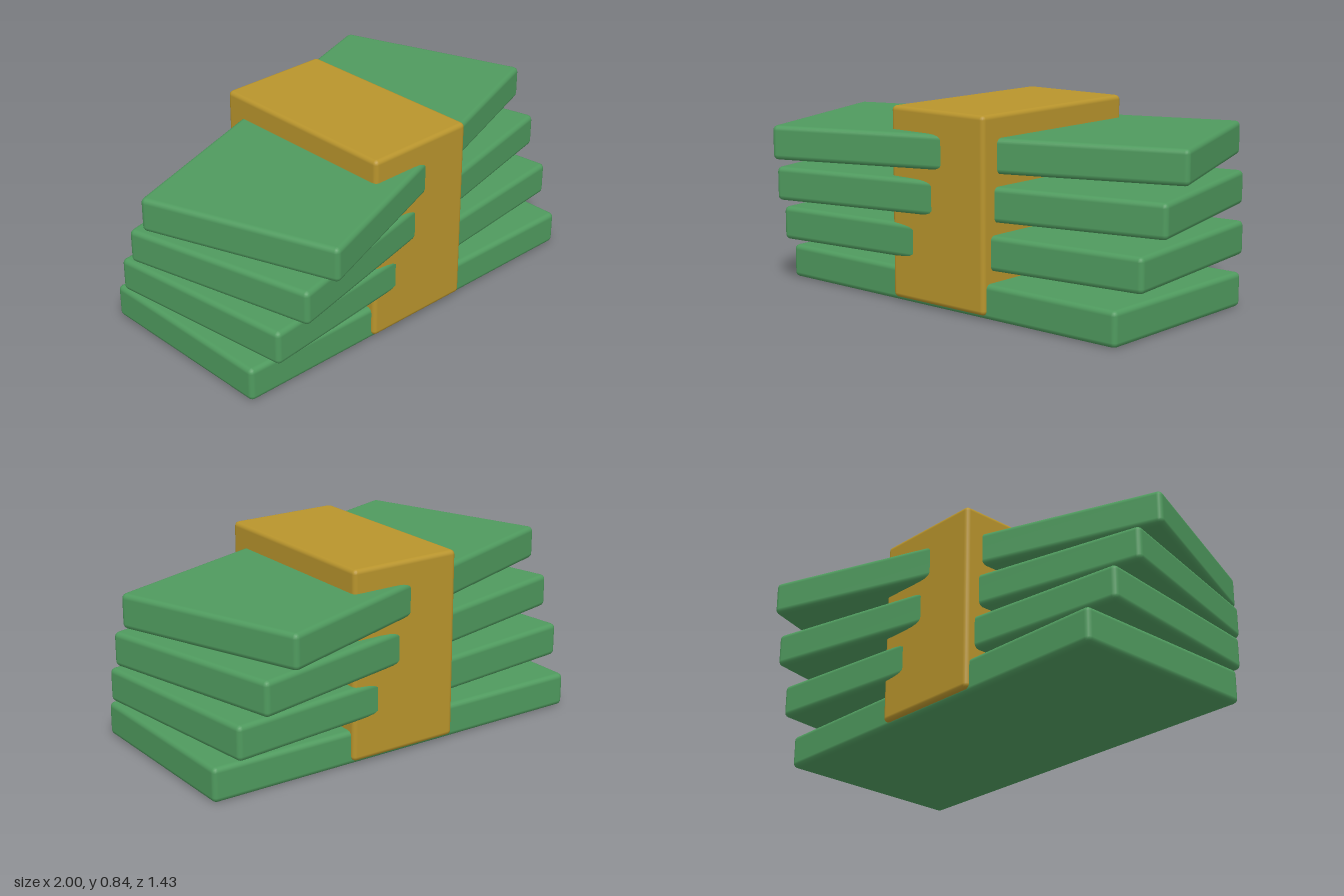
import * as THREE from 'three';
import { RoundedBoxGeometry } from 'three/addons/geometries/RoundedBoxGeometry.js';

export function createModel() {
  const model = new THREE.Group();
  model.name = 'banknoteBundle';
  const green = new THREE.MeshStandardMaterial({ color: 0x4f9a5e });
  const gold = new THREE.MeshStandardMaterial({ color: 0xb8942c });

  // Four stacks of notes, each fanned a little further than the one below
  const count = 4, height = 0.148, spacing = 0.197;
  const stackGeometry = new RoundedBoxGeometry(1.82, height, 0.87, 2, 0.022);
  for (let i = 0; i < count; i++) {
    const stack = new THREE.Mesh(stackGeometry, green);
    stack.name = `noteStack${i + 1}`;
    stack.position.y = height / 2 + i * spacing;
    stack.rotation.y = THREE.MathUtils.degToRad((20 * i) / (count - 1));
    model.add(stack);
  }

  // Band wrapped around the middle
  const bottom = 0.017, top = 0.838;
  const band = new THREE.Mesh(new RoundedBoxGeometry(0.515, top - bottom, 0.908, 2, 0.02), gold);
  band.name = 'band';
  band.position.y = (top + bottom) / 2;
  model.add(band);

  return model;
}
